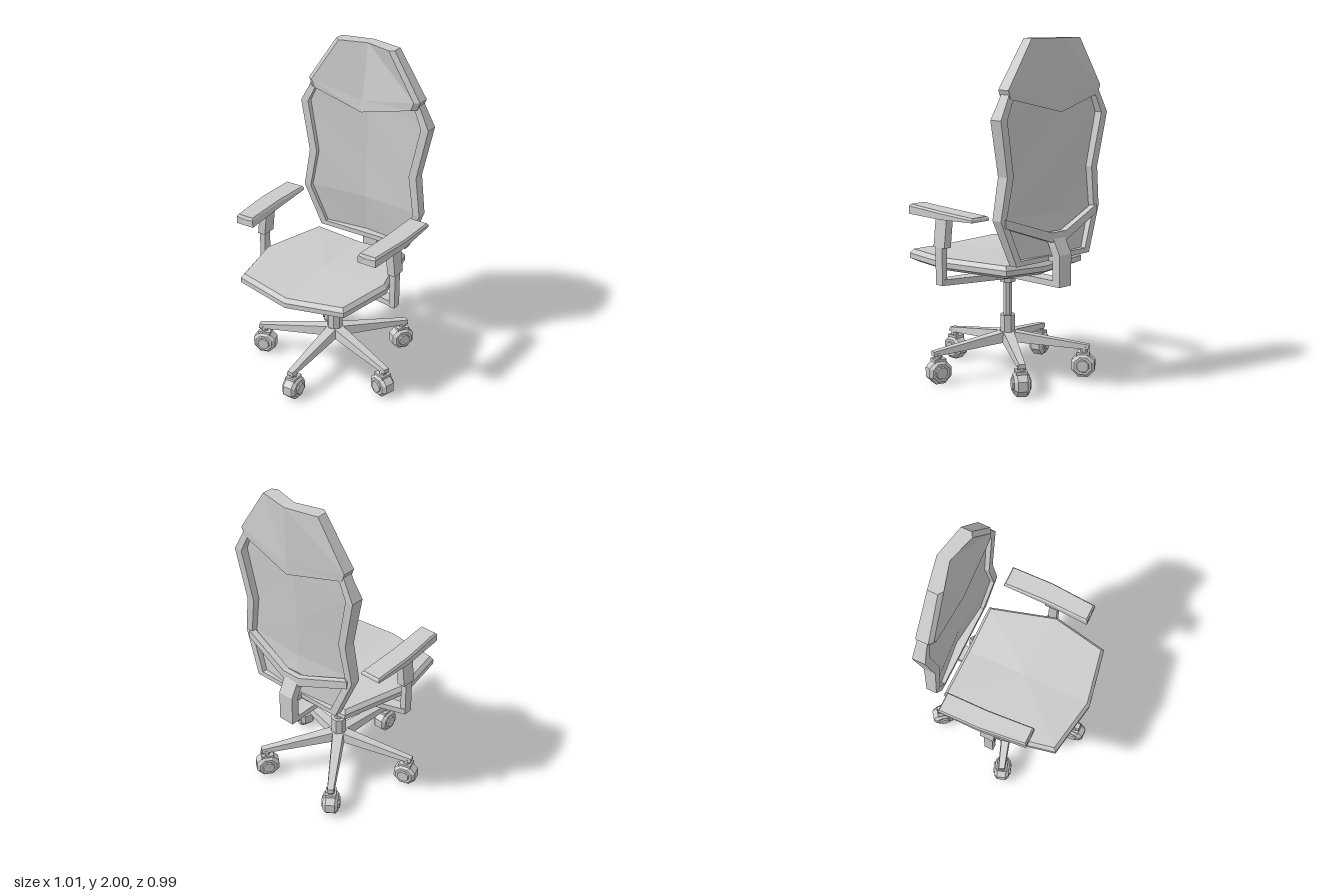
import * as THREE from 'three';

const mat = new THREE.MeshStandardMaterial({ color: 0xcccccc, flatShading: true });
const thin = new THREE.MeshStandardMaterial({ color: 0xcccccc, flatShading: true, side: THREE.DoubleSide });

// Skin a list of equal-sized rings; closed = the last ring joins the first, else both ends are capped
function loft(rings, closed = false) {
  const tris = [], n = rings[0].length, m = rings.length;
  for (let i = 0; i < (closed ? m : m - 1); i++) {
    const a = rings[i], b = rings[(i + 1) % m];
    for (let j = 0; j < n; j++) {
      const k = (j + 1) % n;
      tris.push([a[j], a[k], b[k]], [a[j], b[k], b[j]]);
    }
  }
  if (!closed) {
    for (const [ring, flip] of [[rings[0], true], [rings[m - 1], false]]) {
      const c = [0, 1, 2].map(d => ring.reduce((s, p) => s + p[d], 0) / n);
      for (let j = 0; j < n; j++) {
        const k = (j + 1) % n;
        tris.push(flip ? [c, ring[k], ring[j]] : [c, ring[j], ring[k]]);
      }
    }
  }
  // Turn the faces outward if the enclosed volume is negative
  const v = p => new THREE.Vector3(...p);
  const vol = tris.reduce((s, [a, b, c]) => s + v(a).dot(v(b).cross(v(c))), 0);
  if (vol < 0) tris.forEach(t => t.reverse());
  const g = new THREE.BufferGeometry();
  g.setAttribute('position', new THREE.Float32BufferAttribute(tris.flat(2), 3));
  g.computeVertexNormals();
  return g;
}

function add(parent, name, geo, x = 0, y = 0, z = 0, material = mat) {
  const mesh = new THREE.Mesh(geo, material);
  mesh.name = name;
  mesh.position.set(x, y, z);
  parent.add(mesh);
  return mesh;
}

const box = (x, y, z) => new THREE.BoxGeometry(x, y, z);
const cyl = (r1, r2, h, n = 8) => new THREE.CylinderGeometry(r1, r2, h, n).rotateY(Math.PI / n);
const mirrorRow = p => [-p[0], p[1], p[2]];

function makeSeat(g) {
  const half = [[0.36, 0.43], [0.43, 0.08], [0.316, -0.335]];
  const outline = [[0, 0.495], ...half, [0, -0.335], ...half.map(([x, z]) => [-x, z]).reverse()];
  const ring = (y, s) => outline.map(([x, z]) => [x * s, y + 0.06 * Math.abs(x), 0.08 + (z - 0.08) * s]);
  add(g, 'seat', loft([ring(0.64, 0.88), ring(0.665, 1), ring(0.695, 1), ring(0.72, 0.955)]));
}

function makeBack(g) {
  // outer x, outer y, inner x, inner y, front z, back z
  const rows = [
    [0.35, 1.74, 0.31, 1.69, -0.345, -0.405],
    [0.39, 1.66, 0.345, 1.66, -0.345, -0.41],
    [0.44, 1.565, 0.39, 1.565, -0.335, -0.415],
    [0.375, 1.25, 0.325, 1.25, -0.328, -0.40],
    [0.41, 1.01, 0.365, 1.01, -0.32, -0.385],
    [0.305, 0.745, 0.27, 0.775, -0.35, -0.405],
  ];
  const section = ([ox, oy, ix, iy, f, b]) => [[ox, oy, f], [ix, iy, f], [ix, iy, b], [ox, oy, b]];
  const right = rows.map(section);
  const left = right.map(r => r.map(mirrorRow)).reverse();
  add(g, 'backFrame', loft([...right, ...left], true));

  // Mesh panel, folded back along its centre line
  const pos = [], idx = [];
  rows.forEach(([, , x, y, f, b], i) => {
    const z = f * 0.6 + b * 0.4;
    pos.push(-x, y, z, 0, y, z - 0.03, x, y, z);
    if (i) for (let j = 0; j < 2; j++) {
      const a = (i - 1) * 3 + j, c = i * 3 + j;
      idx.push(a, c, c + 1, a, c + 1, a + 1);
    }
  });
  const panel = new THREE.BufferGeometry();
  panel.setAttribute('position', new THREE.Float32BufferAttribute(pos, 3));
  panel.setIndex(idx);
  panel.computeVertexNormals();
  add(g, 'backPanel', panel, 0, 0, 0, thin);

  // Headrest: half width, side y, centre y, front z at side, front z at centre
  const head = ([hw, y, yc, f, fc]) => [
    [hw - 0.03, y, f], [0, yc, fc], [0.03 - hw, y, f], [-hw, y, f - 0.02],
    [-hw, y, -0.412], [0, yc, -0.455], [hw, y, -0.412], [hw, y, f - 0.02]];
  add(g, 'headrest', loft([
    [0.36, 1.675, 1.59, -0.315, -0.315],
    [0.38, 1.725, 1.66, -0.315, -0.325],
    [0.198, 2.0, 2.0, -0.33, -0.385],
  ].map(head)));
}

function makeSupport(g) {
  // V-shaped yoke behind the panel
  const bar = (x, y, z, h) => [[x, y - h, z - 0.02], [x, y + h, z - 0.02], [x, y + h, z + 0.02], [x, y - h, z + 0.02]];
  add(g, 'backYoke', loft([bar(-0.38, 0.995, -0.375, 0.025), bar(-0.06, 0.885, -0.425, 0.028),
    bar(0.06, 0.885, -0.425, 0.028), bar(0.38, 0.995, -0.375, 0.025)]));

  // L-shaped spine running under the seat, drawn as (z, y)
  const side = [[-0.41, 0.915], [-0.445, 0.875], [-0.492, 0.785], [-0.492, 0.6], [-0.05, 0.6],
    [-0.05, 0.635], [-0.44, 0.635], [-0.44, 0.77], [-0.395, 0.865]];
  const spine = new THREE.ExtrudeGeometry(new THREE.Shape(side.map(p => new THREE.Vector2(...p))),
    { depth: 0.1, bevelEnabled: false });
  add(g, 'spine', spine.rotateY(-Math.PI / 2).translate(0.05, 0, 0));
  add(g, 'backTab', box(0.09, 0.03, 0.07), 0, 0.758, -0.41);

  // Cross bar carrying both arms
  const cross = (x, z0, z1) => [[x, 0.6, z0], [x, 0.635, z0], [x, 0.635, z1], [x, 0.6, z1]];
  add(g, 'armCrossBar', loft([cross(-0.48, 0.015, 0.07), cross(-0.06, -0.125, 0.0),
    cross(0.06, -0.125, 0.0), cross(0.48, 0.015, 0.07)]));
  add(g, 'mountPlate', box(0.13, 0.045, 0.2), 0, 0.625, 0);
}

function makeArm(g, s, dz) {
  const arm = new THREE.Group();
  arm.name = s > 0 ? 'leftArm' : 'rightArm';
  g.add(arm);
  add(arm, 'armPost', box(0.036, 0.26, 0.055), s * 0.462, 0.73, 0.042);
  const slice = (x, y) => [[-1, -1], [1, -1], [1, 1], [-1, 1]].map(
    ([a, b]) => [s * (x + a * 0.025), y, 0.036 + b * 0.045]);
  add(arm, 'armSleeve', loft([slice(0.46, 0.82), slice(0.44, 1.0)]));
  // Pad bends inward towards the front and has a chamfered top edge
  const pad = (z, x0, x1, y0, y1, e) => [[x0, y0], [x0, y1 - 0.012], [x0 + 0.008, y1],
    [x1 - 0.008, y1], [x1, y1 - 0.012], [x1, y0]].map(([x, y]) => [s * x, y, z + dz - (y > y1 - 0.005 ? e : 0)]);
  add(arm, 'armPad', loft([pad(-0.265, 0.378, 0.507, 1.0, 1.025, -0.008),
    pad(0, 0.38, 0.507, 0.988, 1.035, 0), pad(0.29, 0.365, 0.48, 0.985, 1.043, 0.01)]));
}

function makeBase(g) {
  const base = new THREE.Group();
  base.name = 'base';
  base.position.z = -0.035;
  g.add(base);
  add(base, 'columnCollar', cyl(0.05, 0.05, 0.04), 0, 0.582, 0);
  add(base, 'columnRod', cyl(0.027, 0.027, 0.23), 0, 0.465, 0);
  add(base, 'columnSleeve', cyl(0.048, 0.048, 0.13), 0, 0.295, 0);
  add(base, 'hub', cyl(0.05, 0.055, 0.06, 10), 0, 0.23, 0);

  const legSlice = (z, wb, wt, y0, y1) => [[-wb, y0, z], [wb, y0, z], [wt, y1, z], [-wt, y1, z]];
  const legGeo = loft([legSlice(0, 0.042, 0.034, 0.2, 0.265), legSlice(0.05, 0.04, 0.032, 0.198, 0.258),
    legSlice(0.49, 0.022, 0.018, 0.165, 0.192)]);
  // Octagonal wheel with chamfered rims and protruding caps, axle along x
  const profile = [[0, -0.055], [0.036, -0.055], [0.04, -0.046], [0.056, -0.046], [0.075, -0.028],
    [0.075, 0.028], [0.056, 0.046], [0.04, 0.046], [0.036, 0.055], [0, 0.055]];
  const wheelGeo = new THREE.LatheGeometry(profile.map(p => new THREE.Vector2(...p)), 8)
    .rotateY(Math.PI / 8).rotateZ(Math.PI / 2);
  for (let i = 0; i < 5; i++) {
    const leg = new THREE.Group();
    leg.name = 'leg' + (i + 1);
    leg.rotation.y = i * Math.PI * 2 / 5;
    base.add(leg);
    add(leg, 'legBeam', legGeo);
    add(leg, 'casterStem', cyl(0.024, 0.024, 0.05), 0, 0.155, 0.46);
    add(leg, 'casterHood', box(0.066, 0.03, 0.075), 0, 0.133, 0.455);
    add(leg, 'wheel', wheelGeo, 0, 0.07, 0.455);
  }
}

export function createModel() {
  const g = new THREE.Group();
  g.name = 'officeChair';
  makeSeat(g);
  makeBack(g);
  makeSupport(g);
  makeArm(g, 1, 0.005);
  makeArm(g, -1, 0);
  makeBase(g);
  return g;
}
